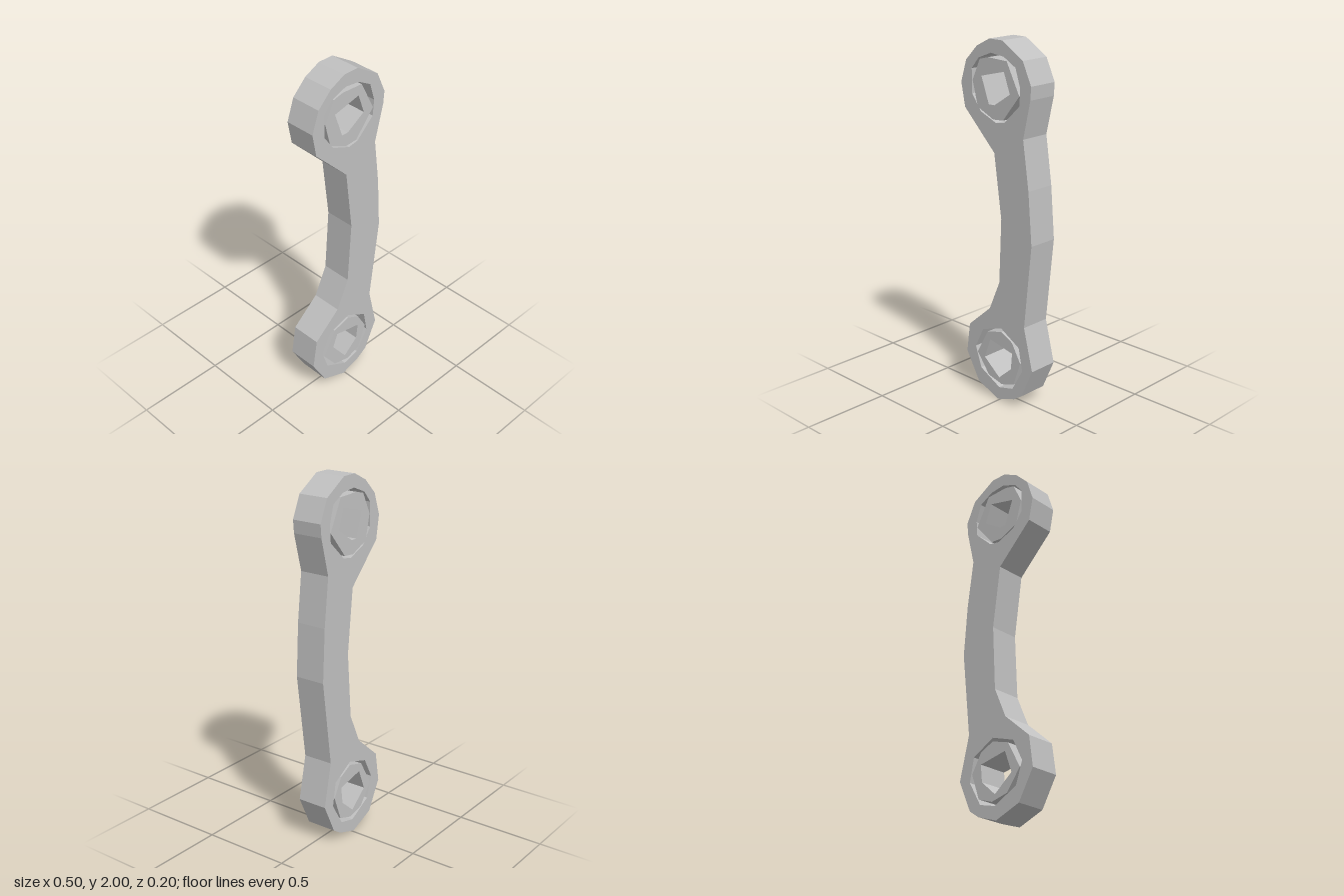
import * as THREE from 'three';

const DEPTH = 0.172;
const LEAN = 0.0125; // slight forward lean of the whole link towards the top

// Profiles are listed clockwise; reversing gives the winding shapes expect
const toPoints = (list) => list.map(([x, y]) => new THREE.Vector2(x, y)).reverse();

// Flat plate with holes, centred in depth and sheared by the lean
function plate(name, outline, holes, material) {
  const shape = new THREE.Shape(toPoints(outline));
  holes.forEach((h) => shape.holes.push(new THREE.Path(toPoints(h))));
  const geometry = new THREE.ExtrudeGeometry(shape, { depth: DEPTH, bevelEnabled: false });
  const p = geometry.attributes.position;
  for (let i = 0; i < p.count; i++) {
    p.setZ(i, p.getZ(i) - DEPTH / 2 + LEAN * (p.getY(i) - 1));
  }
  geometry.computeVertexNormals();
  const mesh = new THREE.Mesh(geometry, material);
  mesh.name = name;
  return mesh;
}

export function createModel() {
  const group = new THREE.Group();
  group.name = 'linkArm';
  const grey = new THREE.MeshStandardMaterial({ color: 0xc0c0c0, flatShading: true });
  grey.name = 'grey metal';

  // Curved arm with a round eye at each end
  const armOutline = [
    [-0.25, 1.75], [-0.21, 1.87], [-0.13, 1.95], [-0.04, 1.995], [0.05, 1.995],
    [0.19, 1.91], [0.245, 1.79], [0.24, 1.72], [0.19, 1.515], [0.225, 1.25],
    [0.245, 0.96], [0.19, 0.49], [0.247, 0.25], [0.17, 0.08], [0.11, 0.04], [-0.01, 0],
    [-0.16, 0.06], [-0.25, 0.22], [-0.225, 0.39], [-0.065, 0.53], [0.01, 0.7],
    [0.03, 1.06], [-0.015, 1.41], [-0.225, 1.62],
  ];
  const upperEye = [
    [-0.03, 1.925], [0.06, 1.915], [0.14, 1.87], [0.172, 1.77], [0.165, 1.68],
    [0.06, 1.58], [0, 1.57], [-0.11, 1.615], [-0.17, 1.7], [-0.17, 1.83], [-0.12, 1.89],
  ];
  const lowerEye = [
    [0.02, 0.435], [0.15, 0.36], [0.175, 0.23], [0.1, 0.1],
    [0, 0.075], [-0.14, 0.15], [-0.18, 0.27], [-0.12, 0.39],
  ];
  group.add(plate('arm', armOutline, [upperEye, lowerEye], grey));

  // Loose faceted bushings inside the eyes
  group.add(plate('upperBushing',
    [[-0.11, 1.885], [-0.05, 1.9], [0.08, 1.895], [0.165, 1.73],
      [0.05, 1.59], [-0.02, 1.585], [-0.13, 1.635], [-0.165, 1.77]],
    [[[-0.1, 1.8], [0.06, 1.84], [0.1, 1.73], [-0.01, 1.66], [-0.05, 1.66]]], grey));
  group.add(plate('lowerBushing',
    [[-0.085, 0.385], [0.02, 0.415], [0.1, 0.375], [0.16, 0.27],
      [0.11, 0.13], [0.02, 0.1], [-0.08, 0.125], [-0.165, 0.24]],
    [[[-0.065, 0.345], [0.1, 0.31], [0.09, 0.215], [0, 0.135], [-0.11, 0.225]]], grey));

  return group;
}
